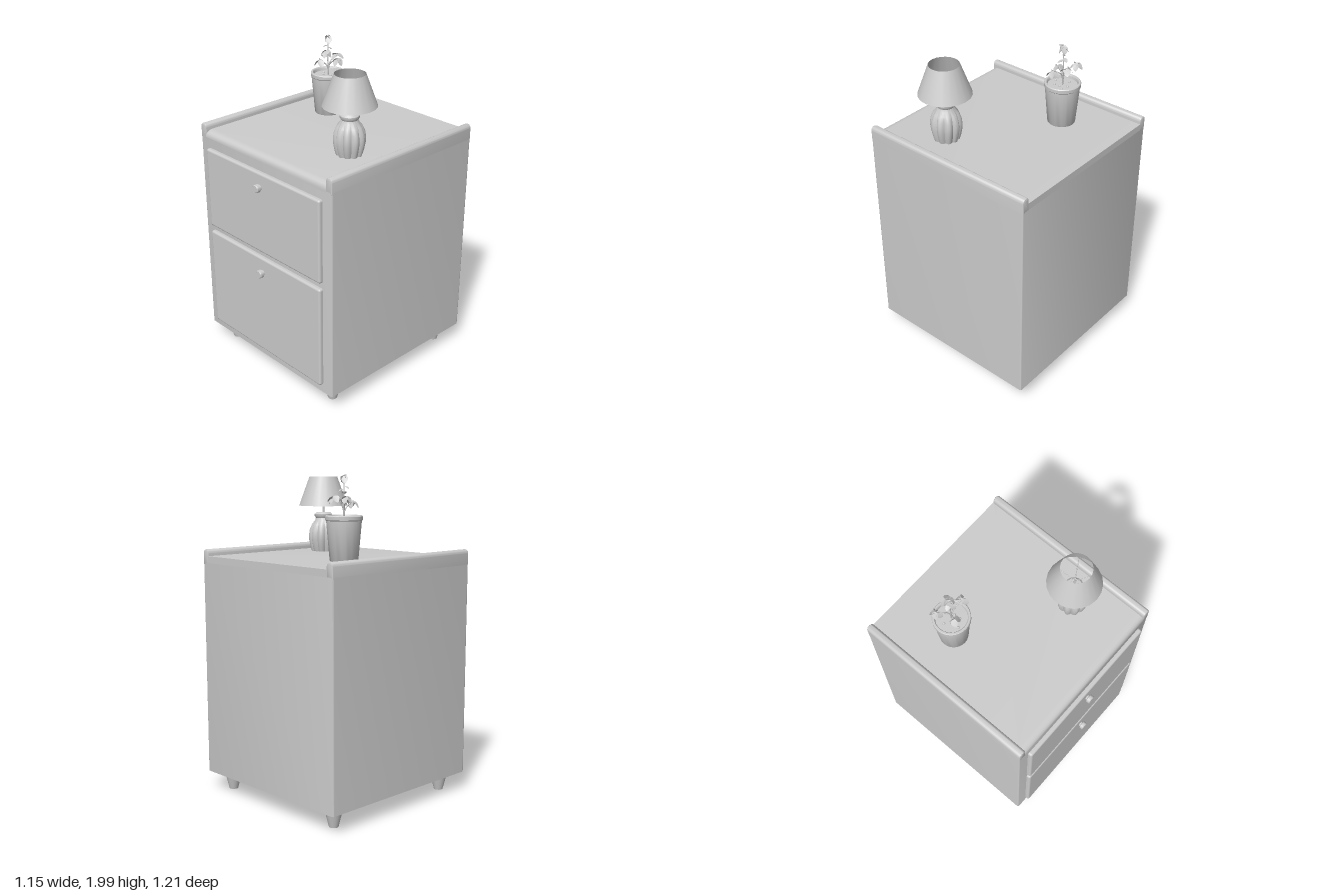
import * as THREE from 'three';
import { RoundedBoxGeometry } from 'three/addons/geometries/RoundedBoxGeometry.js';
import { toCreasedNormals } from 'three/addons/utils/BufferGeometryUtils.js';

const grey = new THREE.MeshStandardMaterial({ color: 0xcccccc });
const thin = new THREE.MeshStandardMaterial({ color: 0xcccccc, side: THREE.DoubleSide });

function add(parent, name, geometry, x = 0, y = 0, z = 0, material = grey) {
  const mesh = new THREE.Mesh(geometry, material);
  mesh.name = name;
  mesh.position.set(x, y, z);
  parent.add(mesh);
  return mesh;
}

const lathe = (points, sides) => toCreasedNormals(
  new THREE.LatheGeometry(points.map(([r, y]) => new THREE.Vector2(r, y)), sides), 0.6);

function createCabinet() {
  const cabinet = new THREE.Group();
  cabinet.name = 'cabinet';
  const back = -0.608, front = 0.547, depth = front - back, w = 0.575, r = 0.012;

  // Carcass: plan with rounded vertical corners, extruded upward
  const plan = new THREE.Shape();
  plan.moveTo(-w + r, -front);
  plan.lineTo(w - r, -front);
  plan.quadraticCurveTo(w, -front, w, -front + r);
  plan.lineTo(w, -back - r);
  plan.quadraticCurveTo(w, -back, w - r, -back);
  plan.lineTo(-w + r, -back);
  plan.quadraticCurveTo(-w, -back, -w, -back - r);
  plan.lineTo(-w, -front + r);
  plan.quadraticCurveTo(-w, -front, -w + r, -front);
  const carcass = new THREE.ExtrudeGeometry(plan, { depth: 1.335, bevelEnabled: false, curveSegments: 4 });
  carcass.rotateX(-Math.PI / 2);
  add(cabinet, 'carcass', toCreasedNormals(carcass, 0.6), 0, 0.115, 0);

  // Top slab with a rounded front edge; profile is drawn in (-z, y)
  const edge = new THREE.Shape();
  edge.moveTo(-front, 1.44);
  edge.lineTo(-back, 1.44);
  edge.lineTo(-back, 1.492);
  edge.lineTo(-0.5, 1.492);
  edge.quadraticCurveTo(-front, 1.49, -front, 1.455);
  const slab = new THREE.ExtrudeGeometry(edge, { depth: 1.06, bevelEnabled: false, curveSegments: 4 });
  slab.rotateY(Math.PI / 2);
  add(cabinet, 'topSlab', toCreasedNormals(slab, 0.6), -0.53, 0, 0);

  // Side rails with rounded tops and softened ends
  const rail = new THREE.Shape();
  rail.moveTo(-0.019, 1.445);
  rail.lineTo(0.019, 1.445);
  rail.lineTo(0.019, 1.508);
  rail.absarc(0, 1.508, 0.019, 0, Math.PI);
  rail.lineTo(-0.019, 1.445);
  const railGeometry = toCreasedNormals(new THREE.ExtrudeGeometry(rail, {
    depth: depth - 0.016, bevelThickness: 0.008, bevelSize: 0.006, bevelSegments: 2, curveSegments: 8,
  }), 0.6);
  for (const side of [-1, 1]) add(cabinet, 'sideRail', railGeometry, side * 0.55, 0, back + 0.008);

  // Drawer fronts and knobs: [bottom, top, knob height]
  for (const [bottom, top, knobY] of [[0.87, 1.39, 1.3], [0.17, 0.832, 0.735]]) {
    add(cabinet, 'drawerFront', new RoundedBoxGeometry(1.004, top - bottom, 0.05, 3, 0.014), 0, (top + bottom) / 2, 0.548);
    const knob = lathe([[0.018, 0], [0.018, 0.012], [0.025, 0.015], [0.025, 0.034], [0.021, 0.038], [0, 0.038]], 20);
    knob.rotateX(Math.PI / 2);
    add(cabinet, 'knob', knob, 0, knobY, 0.569);
  }

  // Tapered feet
  const foot = new THREE.CylinderGeometry(0.058, 0.028, 0.12, 20);
  for (const x of [-0.463, 0.463]) for (const z of [0.434, -0.495]) add(cabinet, 'foot', foot, x, 0.06, z);
  return cabinet;
}

function createLamp() {
  const lamp = new THREE.Group();
  lamp.name = 'lamp';
  lamp.position.set(0.325, 1.49, 0.172);

  // Fluted base: grooves fade out toward the neck
  const outline = [[0, 0], [0.076, 0], [0.085, 0.03], [0.094, 0.075], [0.095, 0.105], [0.09, 0.14],
    [0.075, 0.175], [0.055, 0.2], [0.049, 0.215], [0.057, 0.228], [0.057, 0.24], [0.045, 0.251], [0, 0.253]];
  const base = new THREE.LatheGeometry(outline.map(([r, y]) => new THREE.Vector2(r, y)), 60);
  const p = base.attributes.position;
  for (let i = 0; i < p.count; i++) {
    const lobe = Math.abs(Math.sin(Math.atan2(p.getZ(i), p.getX(i)) * 5));
    const strength = 0.16 * THREE.MathUtils.clamp((0.22 - p.getY(i)) / 0.08, 0, 1);
    const k = 1 - strength * (1 - lobe);
    p.setX(i, p.getX(i) * k);
    p.setZ(i, p.getZ(i) * k);
  }
  add(lamp, 'flutedBase', toCreasedNormals(base, 0.6));
  add(lamp, 'lampStem', new THREE.CylinderGeometry(0.006, 0.006, 0.1, 8), 0, 0.295, 0);

  // Open conical shade
  add(lamp, 'shade', new THREE.CylinderGeometry(0.09, 0.158, 0.185, 20, 1, true), 0, 0.387, 0, thin);

  // Wire spider joining stem and shade
  for (let i = 0; i < 3; i++) {
    const spoke = add(lamp, 'shadeSpoke', new THREE.CylinderGeometry(0.002, 0.002, 0.29, 5), 0, 0.315, 0);
    spoke.rotation.set(Math.PI / 2, 0, i * Math.PI / 3);
  }
  return lamp;
}

function createLeafGeometry() {
  const s = new THREE.Shape();
  s.moveTo(0, 0);
  s.bezierCurveTo(0.032, 0.006, 0.03, 0.045, 0, 0.06);
  s.bezierCurveTo(-0.03, 0.045, -0.032, 0.006, 0, 0);
  const leaf = new THREE.ShapeGeometry(s, 8);
  const p = leaf.attributes.position;
  // Cup the blade and let the tip droop
  for (let i = 0; i < p.count; i++) p.setZ(i, 8 * p.getX(i) ** 2 - 5 * p.getY(i) ** 2);
  leaf.rotateX(Math.PI / 2);
  leaf.scale(1, -1, 1);
  leaf.computeVertexNormals();
  return leaf;
}

function createPlant() {
  const plant = new THREE.Group();
  plant.name = 'pottedPlant';
  plant.position.set(-0.262, 1.49, -0.217);

  // Tapered pot with a thin lip, soil and pebbles
  add(plant, 'pot', lathe([[0, 0], [0.08, 0], [0.084, 0.006], [0.104, 0.235], [0.109, 0.24], [0.109, 0.26],
    [0.105, 0.265], [0.096, 0.265], [0.092, 0.26], [0.089, 0.225]], 28), 0, 0, 0, thin);
  add(plant, 'soil', new THREE.CylinderGeometry(0.093, 0.09, 0.01, 28), 0, 0.238, 0);
  for (let i = 0; i < 7; i++) {
    const a = i * 2.4, d = 0.025 + 0.007 * i;
    add(plant, 'pebble', new THREE.SphereGeometry(0.008, 8, 6), d * Math.cos(a), 0.244, d * Math.sin(a));
  }

  // Branches: [tip x, y, z, leaf count, tilt, heading]
  const leaf = createLeafGeometry();
  const branches = [
    [-0.065, 0.372, -0.045, 4, 0.5, 0.4], [-0.022, 0.345, 0.05, 3, 0.6, 1.2], [0.09, 0.365, 0.005, 4, 0.5, 0.2],
    [0.025, 0.372, -0.048, 3, 0.3, 2.2], [0.0, 0.49, 0.0, 4, 0.7, 0.9],
  ];
  for (const [x, y, z, count, tilt, heading] of branches) {
    const path = new THREE.CatmullRomCurve3([
      new THREE.Vector3(0, 0.24, 0), new THREE.Vector3(x * 0.15, 0.24 + (y - 0.24) * 0.6, z * 0.15),
      new THREE.Vector3(x, y, z),
    ]);
    add(plant, 'branch', new THREE.TubeGeometry(path, 10, 0.0035, 6));
    for (let i = 0; i < count; i++) {
      const blade = add(plant, 'leaf', leaf, x, y + 0.006 * (i % 2), z, thin);
      blade.rotation.order = 'YXZ';
      blade.rotation.set(tilt + 0.25 * (i % 2), heading + i * Math.PI * 2 / count, 0.2);
      blade.scale.setScalar(0.85);
    }
  }
  // Small upright bud leaf and low shoots
  const bud = add(plant, 'leaf', leaf, -0.005, 0.475, 0, thin);
  bud.rotation.set(-1.1, 0.5, 0);
  bud.scale.setScalar(0.65);
  for (let i = 0; i < 3; i++) {
    const shoot = add(plant, 'leaf', leaf, 0, 0.4 + 0.015 * i, 0, thin);
    shoot.rotation.order = 'YXZ';
    shoot.rotation.set(0.1, 0.7 + i * 2.1, 0);
    shoot.scale.setScalar(0.6);
  }
  return plant;
}

export function createModel() {
  const model = new THREE.Group();
  model.name = 'bedsideCabinet';
  model.add(createCabinet(), createLamp(), createPlant());
  return model;
}
